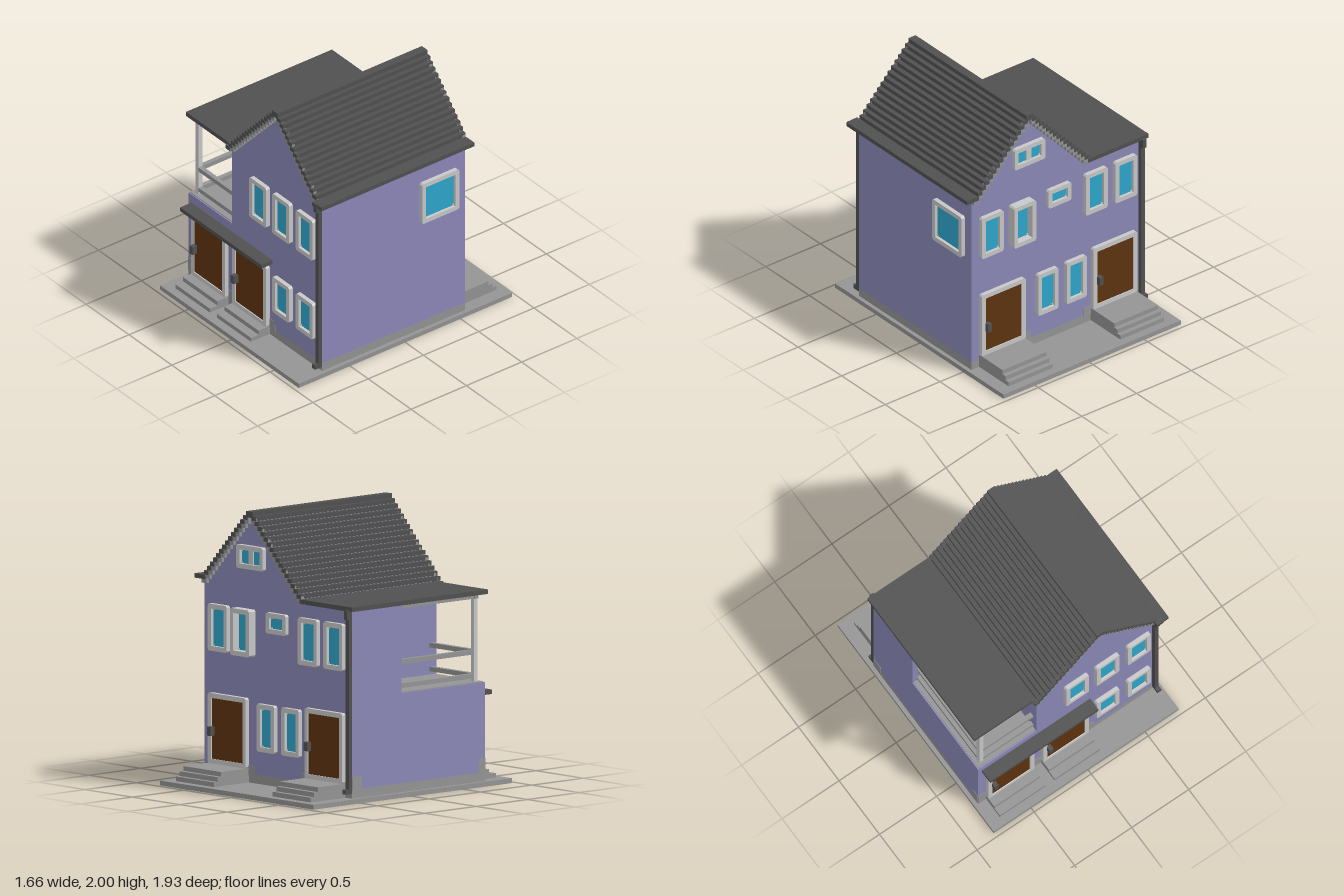
import * as THREE from 'three';

const mat = (name, color) => Object.assign(new THREE.MeshStandardMaterial({ color }), { name });

export function createModel() {
  const model = new THREE.Group();
  model.name = 'house';
  const purple = mat('purple wall', 0x8c88b8);
  const dark = mat('dark slate', 0x505050);
  const gray = mat('stone gray', 0x949494);
  const light = mat('light trim', 0xc8c8c8);
  const brown = mat('brown door', 0x5e3310);
  const blue = mat('blue glass', 0x2ea6cc);

  // box given by its limits on each axis
  const box = (name, m, x0, x1, y0, y1, z0, z1, parent = model) => {
    const mesh = new THREE.Mesh(new THREE.BoxGeometry(x1 - x0, y1 - y0, z1 - z0), m);
    mesh.position.set((x0 + x1) / 2, (y0 + y1) / 2, (z0 + z1) / 2);
    mesh.name = name;
    parent.add(mesh);
    return mesh;
  };

  // rectangular frame with clipped outer corners and an opening
  const frame = (name, x0, x1, y0, y1, t, depth, parent) => {
    const c = 0.012;
    const shape = new THREE.Shape([[x0 + c, y0], [x1 - c, y0], [x1, y0 + c], [x1, y1 - c],
      [x1 - c, y1], [x0 + c, y1], [x0, y1 - c], [x0, y0 + c]].map(p => new THREE.Vector2(...p)));
    shape.holes.push(new THREE.Path([[x0 + t, y0 + t], [x0 + t, y1 - t], [x1 - t, y1 - t], [x1 - t, y0 + t]]
      .map(p => new THREE.Vector2(...p))));
    const mesh = new THREE.Mesh(new THREE.ExtrudeGeometry(shape, { depth, bevelEnabled: false }), light);
    mesh.name = name;
    parent.add(mesh);
  };

  const addWindow = (side, x0, x1, y0, y1, depth = 0.033, t = 0.035) => {
    const g = new THREE.Group();
    g.name = 'window';
    frame('windowFrame', x0, x1, y0, y1, t, depth, g);
    box('glass', blue, x0 + t, x1 - t, y0 + t, y1 - t, 0.002, 0.01, g);
    // corner pegs on the pane
    for (const x of [x0 + t, x1 - t - 0.012])
      for (const y of [y0 + t, y1 - t - 0.012])
        box('paneCorner', light, x, x + 0.012, y, y + 0.012, 0.008, 0.014, g);
    side.add(g);
  };

  const addDoor = (side, x0, y0, y1, handleY) => {
    const g = new THREE.Group();
    g.name = 'door';
    frame('doorFrame', x0, x0 + 0.4, y0, y1, 0.035, 0.033, g);
    box('doorPanel', brown, x0 + 0.034, x0 + 0.366, y0 + 0.034, y1 - 0.034, 0.002, 0.025, g);
    box('doorHandle', dark, x0 + 0.03, x0 + 0.064, handleY, handleY + 0.065, 0.025, 0.067, g);
    side.add(g);
  };

  // local frame for each facade, outward along its own +z
  const facade = (name, x, z, angle) => {
    const g = new THREE.Group();
    g.name = name;
    g.position.set(x, 0, z);
    g.rotation.y = angle;
    model.add(g);
    return g;
  };
  const front = facade('frontFacade', 0, 0.73, 0);
  const back = facade('backFacade', 0, -0.56, Math.PI);
  const right = facade('sideFacade', 0.76, 0, Math.PI / 2);
  const balconyWall = facade('balconyFacade', 0, -0.08, 0);

  // ground slab and plinth
  box('groundSlab', gray, -0.83, 0.79, 0, 0.035, -0.965, 0.965);
  box('plinth', gray, -0.8, 0.76, 0.035, 0.1, -0.56, 0.73);

  // walls
  box('lowerWalls', purple, -0.8, 0.76, 0.1, 0.75, -0.56, 0.73);
  box('upperBackWalls', purple, -0.8, -0.29, 0.75, 1.39, -0.56, -0.08);
  const gable = new THREE.Shape([[-0.29, 0.75], [0.76, 0.75], [0.76, 1.45], [0.25, 1.96], [-0.29, 1.39]]
    .map(p => new THREE.Vector2(...p)));
  const gableMesh = new THREE.Mesh(new THREE.ExtrudeGeometry(gable, { depth: 1.29, bevelEnabled: false }), purple);
  gableMesh.position.z = -0.56;
  gableMesh.name = 'gableWalls';
  model.add(gableMesh);

  // worn plinth patches
  for (const [x0, x1, top] of [[-0.8, -0.73, 0.2], [-0.33, -0.25, 0.17], [0.15, 0.2, 0.17], [0.2, 0.215, 0.14]])
    box('plinthPatch', gray, x0, x1, 0.09, top, 0.727, 0.733);
  for (const [x0, x1, top] of [[-0.8, -0.73, 0.18], [-0.33, -0.26, 0.16], [0.22, 0.29, 0.16]])
    box('plinthPatch', gray, x0, x1, 0.09, top, -0.563, -0.557);
  box('plinthPatch', gray, -0.803, -0.797, 0.09, 0.19, -0.56, -0.47);
  box('plinthPatch', gray, -0.803, -0.797, 0.09, 0.2, 0.67, 0.73);

  // stepped gable roof with gray verge trim
  const W = 0.0318, H = 0.034;
  box('ridge', dark, 0.217, 0.283, 1.955, 2, -0.593, 0.763);
  for (const [s, n] of [[1, 15], [-1, 17]]) {
    for (let i = 1; i <= n; i++) {
      const a = 0.25 + s * (0.033 + W * (i - 1)), b = a + s * W;
      const x0 = Math.min(a, b), x1 = Math.max(a, b), top = 2 - H * i;
      box('roofStep', dark, x0, x1, top - 0.012, top + 0.001, -0.593, 0.763);
      box('roofRiser', dark, x0 - (s > 0 ? 0.012 : 0), x1 + (s < 0 ? 0.012 : 0), top - 0.03, top, -0.593, 0.763);
      for (const z of [-0.59, 0.731])
        box('vergeTrim', gray, x0 - (s > 0 ? 0.02 : 0), x1 + (s < 0 ? 0.02 : 0),
          Math.max(top - 0.058, 1.385), top - 0.012, z, z + 0.027);
    }
  }

  // eave gutter and flat side roof
  box('gutter', dark, 0.755, 0.828, 1.46, 1.492, -0.593, 0.79);
  box('gutterEnd', dark, 0.725, 0.78, 1.46, 1.49, 0.73, 0.795);
  box('flatRoof', dark, -0.832, -0.29, 1.39, 1.423, -0.593, 0.728);

  // drainpipes with elbow and foot
  const drain = (x0, z, d, top) => {
    const part = (name, y0, y1, a, b) =>
      box(name, dark, x0, x0 + 0.034, y0, y1, Math.min(z + d * a, z + d * b), Math.max(z + d * a, z + d * b));
    part('drainpipe', 0.07, top, 0, 0.032);
    part('drainFoot', 0.07, 0.104, 0.03, 0.064);
    part('drainElbow', top - 0.07, top, 0.015, 0.05);
  };
  drain(0.726, 0.73, 1, 1.47);
  drain(-0.8, -0.56, -1, 1.4);

  // balcony floor, post, beams and rails
  box('balconyFloor', gray, -0.79, -0.29, 0.748, 0.756, -0.08, 0.72);
  box('balconyPost', light, -0.762, -0.728, 0.75, 1.36, 0.66, 0.694);
  for (const [name, y0, y1] of [['balconyBeam', 1.355, 1.39], ['handRail', 0.952, 0.986], ['lowRail', 0.78, 0.813]]) {
    box(name, gray, -0.73, -0.29, y0, y1, 0.66, 0.694);
    box(name, gray, -0.762, -0.728, y0, y1, -0.08, 0.662);
  }
  box('cornerBeam', gray, -0.77, -0.728, 1.355, 1.39, 0.66, 0.694);
  addDoor(balconyWall, -0.73, 0.75, 1.255, 0.96);

  // front entrance
  box('canopy', dark, -0.765, 0.182, 0.65, 0.682, 0.73, 0.832);
  for (const x of [-0.73, -0.25]) {
    addDoor(front, x, 0.102, 0.614, 0.31);
    box('frontStep', gray, x, x + 0.4, 0.035, 0.068, 0.73, 0.9);
    box('frontStep', gray, x, x + 0.4, 0.068, 0.103, 0.73, 0.832);
  }
  for (const x of [-0.05, 0.217, 0.492]) addWindow(front, x, x + 0.2, 0.95, 1.29);
  for (const x of [0.217, 0.492]) addWindow(front, x, x + 0.2, 0.275, 0.578);

  // side window
  addWindow(right, 0.15, 0.485, 0.95, 1.29);

  // back doors, steps and windows
  for (const x of [-0.73, 0.29]) {
    addDoor(back, -x - 0.4, 0.135, 0.645, 0.34);
    [-0.9, -0.865, -0.83].forEach((z, i) =>
      box('backStep', gray, x, x + 0.4, 0.035 + i * 0.034, 0.069 + i * 0.034, z, -0.56));
  }
  for (const x of [-0.73, -0.46, 0.49]) addWindow(back, -x - 0.2, -x, 0.95, 1.29);
  addWindow(back, -0.42, -0.22, 0.95, 1.29, 0.066);
  for (const x of [-0.27, -0.01]) addWindow(back, -x - 0.185, -x, 0.275, 0.62);
  addWindow(back, -0.08, 0.13, 1.14, 1.29);
  addWindow(back, -0.39, -0.11, 1.58, 1.75);
  box('gableWindowBar', light, -0.272, -0.228, 1.6, 1.73, 0.005, 0.02, back);

  return model;
}
